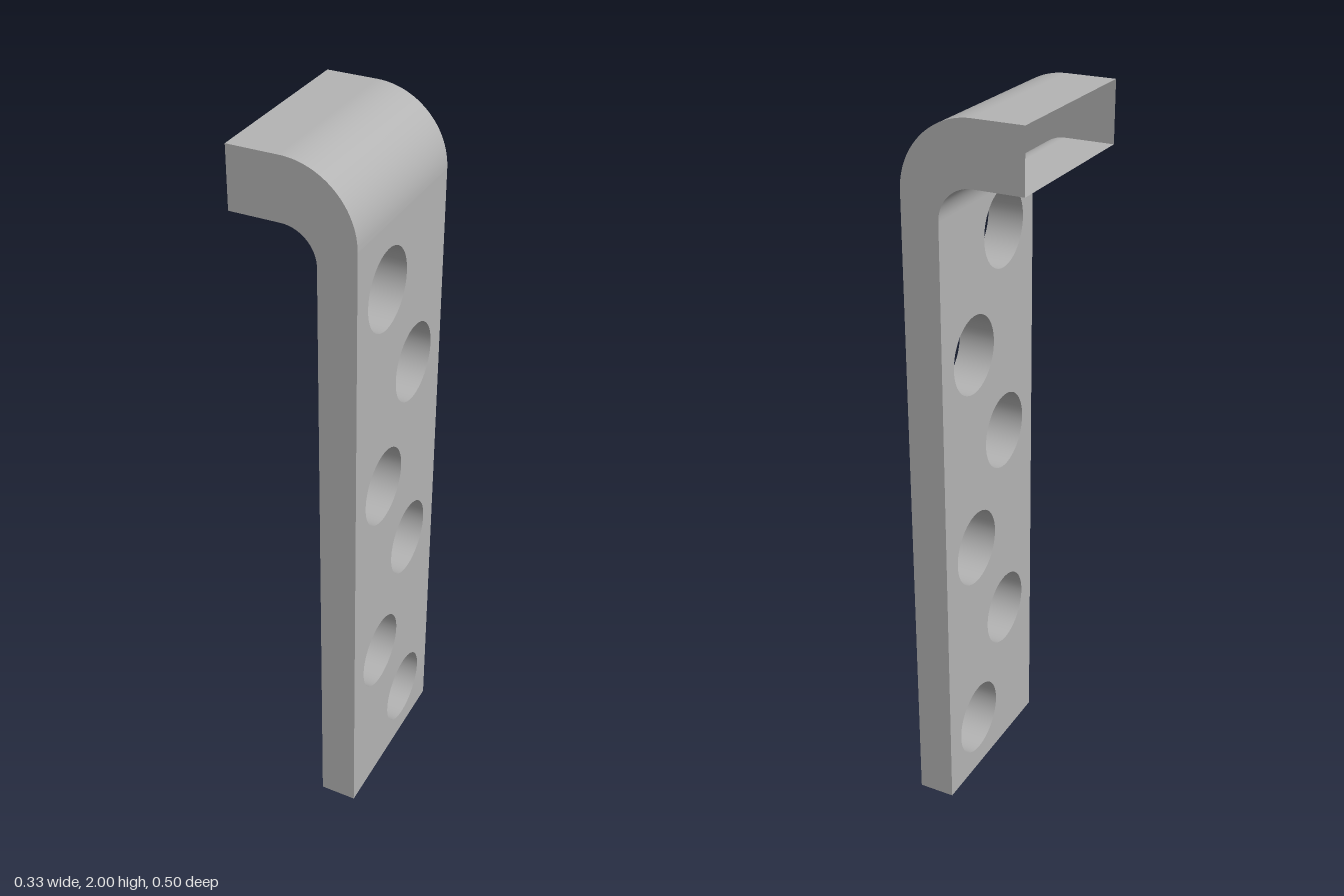
import * as THREE from 'three';

const HALF = 0.25;                    // half width along z
const LIP = -0.167, OUT = 0.165, IN = 0.062;
const TOP = 2, UNDER = 1.835;
const BEND_X = -0.03, R_OUT = OUT - BEND_X, R_IN = IN - BEND_X;
const HOLE_R = 0.108;
const HOLES = [0.17, 0.46, 0.755, 1.045, 1.335, 1.63].map((y, i) => ({ y, z: i % 2 ? 0.085 : -0.082 }));

// Quarter bend from straight up (90 degrees) to +x (0 degrees)
function bend(cy, r) {
  const pts = [];
  for (let i = 0; i <= 24; i++) {
    const a = (Math.PI / 2) * (1 - i / 24);
    pts.push(new THREE.Vector2(BEND_X + r * Math.cos(a), cy + r * Math.sin(a)));
  }
  return pts;
}

// Skin swept across the width; points run clockwise around the profile
function strip(points) {
  const pos = [], index = [];
  points.forEach((p, i) => {
    pos.push(p.x, p.y, HALF, p.x, p.y, -HALF);
    if (i) {
      const k = 2 * (i - 1);
      index.push(k, k + 2, k + 3, k, k + 3, k + 1);
    }
  });
  const g = new THREE.BufferGeometry();
  g.setAttribute('position', new THREE.Float32BufferAttribute(pos, 3));
  g.setIndex(index);
  g.computeVertexNormals();
  return g;
}

// Upright plate face with round holes; side is +1 (outer) or -1 (inner)
function plateFace(height, side) {
  const s = new THREE.Shape([
    new THREE.Vector2(-HALF, 0), new THREE.Vector2(HALF, 0),
    new THREE.Vector2(HALF, height), new THREE.Vector2(-HALF, height),
  ]);
  for (const h of HOLES) s.holes.push(new THREE.Path().absarc(-side * h.z, h.y, HOLE_R, 0, Math.PI * 2, true));
  return new THREE.ShapeGeometry(s, 24).rotateY(side * Math.PI / 2);
}

export function createModel() {
  const group = new THREE.Group();
  const grey = new THREE.MeshStandardMaterial({ color: 0xb4b4b4, side: THREE.DoubleSide });
  grey.name = 'plain grey';
  const add = (name, geometry, x = 0, y = 0, z = 0) => {
    const m = new THREE.Mesh(geometry, grey);
    m.name = name;
    m.position.set(x, y, z);
    group.add(m);
  };

  const outer = bend(TOP - R_OUT, R_OUT), inner = bend(UNDER - R_IN, R_IN);
  const V = (x, y) => new THREE.Vector2(x, y);

  // Bent top and its underside; the lip end stays open
  add('topBend', strip([V(LIP, TOP), ...outer]));
  add('underBend', strip([...inner.slice().reverse(), V(LIP, UNDER)]));
  add('bottomEdge', strip([V(OUT, 0), V(IN, 0)]));

  // Upright plate
  add('outerFace', plateFace(TOP - R_OUT, 1), OUT);
  add('innerFace', plateFace(UNDER - R_IN, -1), IN);

  // Hole walls
  for (const h of HOLES) {
    const wall = new THREE.CylinderGeometry(HOLE_R, HOLE_R, OUT - IN, 48, 1, true).rotateZ(Math.PI / 2);
    add('holeWall', wall, (OUT + IN) / 2, h.y, h.z);
  }

  // Hook-shaped sides
  const profile = new THREE.Shape([
    V(LIP, TOP), ...outer, V(OUT, 0), V(IN, 0), ...inner.slice().reverse(), V(LIP, UNDER),
  ]);
  add('frontSide', new THREE.ShapeGeometry(profile), 0, 0, HALF);
  const back = new THREE.ShapeGeometry(profile);
  back.index.array.reverse();
  back.computeVertexNormals();
  add('backSide', back, 0, 0, -HALF);

  return group;
}
